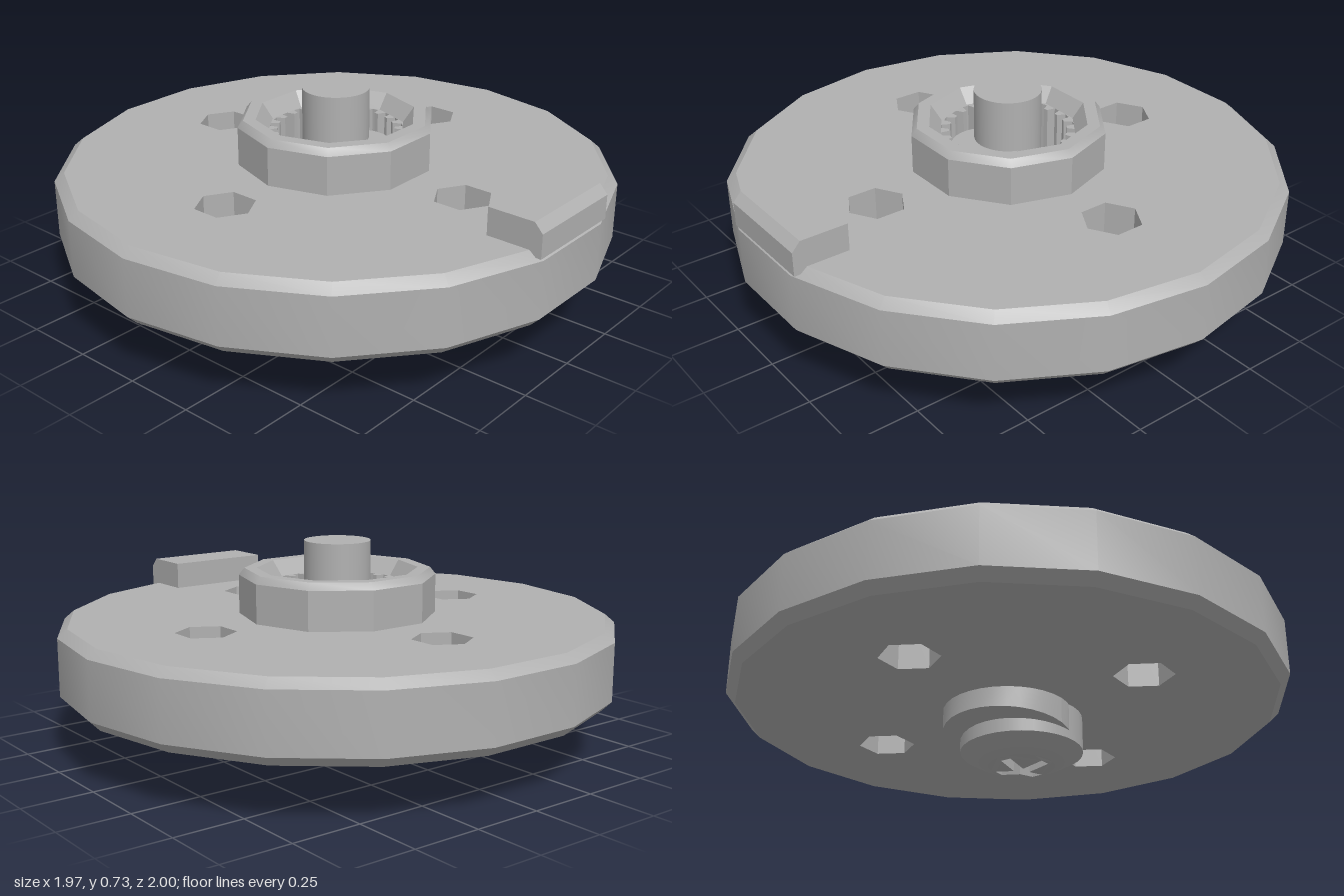
import * as THREE from 'three';
import { toCreasedNormals } from 'three/addons/utils/BufferGeometryUtils.js';

const ring = (r, n, cx = 0, cy = 0, phase = 0) =>
  Array.from({ length: n }, (_, i) => {
    const a = phase + (i / n) * Math.PI * 2;
    return new THREE.Vector2(cx + r * Math.cos(a), cy + r * Math.sin(a));
  });

// Plan outline with holes, raised from y0 to y1
function slab(outline, holes, y0, y1) {
  const shape = new THREE.Shape(outline);
  shape.holes = holes.map((h) => new THREE.Path(h));
  const g = new THREE.ExtrudeGeometry(shape, { depth: y1 - y0, bevelEnabled: false });
  return g.rotateX(-Math.PI / 2).translate(0, y0, 0);
}

const lathe = (pts, n) =>
  toCreasedNormals(new THREE.LatheGeometry(pts.map((p) => new THREE.Vector2(...p)), n), 0.5);

const drum = (r, y0, y1, n = 32) =>
  new THREE.CylinderGeometry(r, r, y1 - y0, n).translate(0, (y0 + y1) / 2, 0);

export function createModel() {
  const model = new THREE.Group();
  const grey = new THREE.MeshStandardMaterial({ color: 0xb0b0b0 });
  grey.name = 'grey';
  const add = (name, geometry, x = 0) => {
    const mesh = new THREE.Mesh(geometry, grey);
    mesh.name = name;
    mesh.position.x = x;
    model.add(mesh);
  };

  // Wheel disc: pierced plate and chamfered rim
  const SIDES = 18;
  const holes = [[0.56, 0], [-0.56, 0], [0, 0.56], [0, -0.56]].map(([x, y]) => ring(0.105, 6, x, y));
  add('disc', slab(ring(0.965, SIDES, 0, 0, Math.PI / 2), [...holes, ring(0.25, 24)], 0.2, 0.47));
  add('rim', lathe([[0.965, 0.2], [1, 0.235], [1, 0.44], [0.965, 0.47]], SIDES));

  // Raised hub with a sloping mouth
  add('hub', lathe([[0.355, 0.46], [0.355, 0.61], [0.335, 0.635], [0.29, 0.635], [0.25, 0.58]], 10));

  // Toothed bore and its floor
  const TEETH = 24;
  const teeth = [];
  for (let i = 0; i < TEETH; i++) {
    [[0, 0.24], [0.4, 0.24], [0.55, 0.21], [0.85, 0.21]].forEach(([t, r]) => {
      const a = ((i + t) / TEETH) * Math.PI * 2;
      teeth.push(new THREE.Vector2(r * Math.cos(a), r * Math.sin(a)));
    });
  }
  add('boreTeeth', slab(ring(0.26, 24), [teeth], 0.4, 0.58));
  add('boreFloor', drum(0.25, 0.2, 0.4, 24));

  // Central pin and the eccentric step beside it
  add('pin', drum(0.12, 0.4, 0.735));
  add('eccentricStep', drum(0.125, 0.4, 0.55), 0.095);

  // Lower cam with a slanted underside
  const cam = drum(0.23, 0.13, 0.2);
  const cp = cam.attributes.position;
  for (let i = 0; i < cp.count; i++) {
    if (cp.getY(i) < 0.15) cp.setY(i, 0.13 - 0.1 * (cp.getX(i) + 0.23));
  }
  cam.computeVertexNormals();
  add('lowerCam', cam);

  // Offset screw head: barrel, domed edge and crown with a cross recess
  const headX = 0.09;
  const domeY = (r) => 0.07 * (r / 0.22) ** 2;
  add('screwBarrel', drum(0.222, 0.07, 0.2), headX);
  add('screwDome', lathe([0.12, 0.15, 0.185, 0.222].map((r) => [r, domeY(r)]), 32), headX);
  const w = 0.02, l = 0.1;
  const cross = [[w, w], [w, l], [-w, l], [-w, w], [-l, w], [-l, -w], [-w, -w], [-w, -l],
    [w, -l], [w, -w], [l, -w], [l, w]].map((p) => new THREE.Vector2(...p));
  const crown = slab(ring(0.12, 32), [cross], 0, 0.07);
  const p = crown.attributes.position;
  for (let i = 0; i < p.count; i++) {
    if (p.getY(i) < 0.01) p.setY(i, domeY(Math.hypot(p.getX(i), p.getZ(i))));
  }
  crown.computeVertexNormals();
  add('screwCrown', crown, headX);

  // Stop block on the rim
  const profile = new THREE.Shape(
    [[0.785, 0.45], [0.985, 0.45], [0.985, 0.535], [0.955, 0.568], [0.785, 0.568]]
      .map((q) => new THREE.Vector2(...q)));
  add('stopBlock', new THREE.ExtrudeGeometry(profile, { depth: 0.39, bevelEnabled: false })
    .translate(0, 0, -0.2));

  return model;
}
